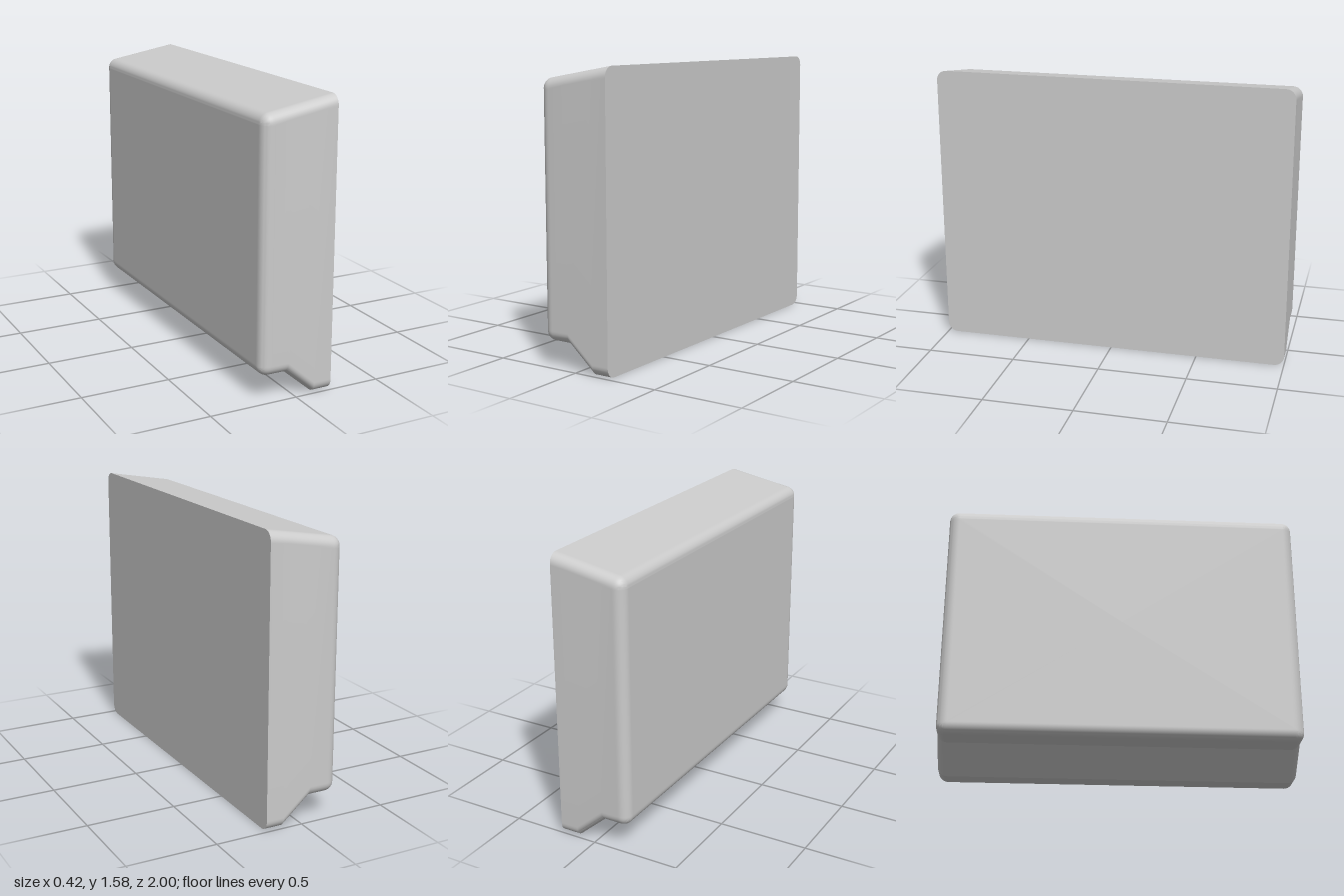
import * as THREE from 'three';
import { toCreasedNormals } from 'three/addons/utils/BufferGeometryUtils.js';

const R = 0.055;        // fillet radius
const E = 0.006;        // support loop offset that keeps flats flat
const HALF_X = 0.21;
const CX = -HALF_X + R; // fillet centre on the rounded side
const SLOPE = 0.175;

const topLine = (x) => 1.58 - SLOPE * (HALF_X - x);
const bottomLine = (x) => (x < -0.05 ? 0.14 : x < 0.11 ? 0.14 * (0.11 - x) / 0.16 : 0);

// Cross-sections along x: bottom, top, half depth and corner radius
function sections() {
  const list = [];
  const cy = topLine(CX) - R * Math.hypot(1, SLOPE);
  const tangent = Math.PI / 2 - Math.atan(SLOPE);
  list.push({ x: -HALF_X, bottom: 0.14 + R + E, top: cy - E, half: 1 - R - E, r: 0 });
  for (let i = 0; i <= 9; i++) {
    const a = (i / 9) * Math.PI / 2;
    const x = CX - R * Math.cos(a);
    const inset = R * (1 - Math.sin(a));
    list.push({
      x, bottom: 0.14 + inset,
      top: a < tangent ? cy + R * Math.sin(a) : topLine(x),
      half: 1 - inset, r: R - inset,
    });
  }
  for (const x of [CX + E, -0.05, 0.11, HALF_X]) {
    list.push({ x, bottom: bottomLine(x), top: topLine(x), half: 1, r: R });
  }
  return list;
}

// Rounded rectangle in the z-y plane, with a support point either side of each corner
function ring({ x, bottom, top, half, r }) {
  const pts = [];
  const corners = [[1, 1], [-1, 1], [-1, -1], [1, -1]];
  corners.forEach(([sz, sy], c) => {
    const z0 = sz * (half - r);
    const y0 = sy > 0 ? top - r : bottom + r;
    const start = c * Math.PI / 2;
    const at = (a, shift) => pts.push([
      x,
      y0 + r * Math.sin(a) + shift * Math.cos(a),
      z0 + r * Math.cos(a) - shift * Math.sin(a),
    ]);
    at(start, -E);
    for (let i = 0; i <= 8; i++) at(start + (i / 8) * Math.PI / 2, 0);
    at(start + Math.PI / 2, E);
  });
  return pts;
}

function bodyGeometry() {
  const rings = sections().map(ring);
  const n = rings[0].length;
  const last = rings.length - 1;
  const index = [];
  for (let i = 0; i < last; i++) {
    for (let j = 0; j < n; j++) {
      const k = (j + 1) % n;
      const a = i * n + j, b = a + n, c = (i + 1) * n + k, d = i * n + k;
      index.push(a, b, c, a, c, d);
    }
  }
  // Flat caps on both sides
  const c0 = rings.length * n;
  for (let j = 0; j < n; j++) {
    const k = (j + 1) % n;
    index.push(c0, j, k, c0 + 1, last * n + k, last * n + j);
  }
  const positions = [...rings.flat(), [-HALF_X, 0.82, 0], [HALF_X, 0.79, 0]].flat();
  const geo = new THREE.BufferGeometry();
  geo.setAttribute('position', new THREE.Float32BufferAttribute(positions, 3));
  geo.setIndex(index);
  return toCreasedNormals(geo, 0.5);
}

export function createModel() {
  const group = new THREE.Group();
  group.name = 'wallCabinet';
  const material = new THREE.MeshStandardMaterial({ color: 0xcccccc });
  const body = new THREE.Mesh(bodyGeometry(), material);
  body.name = 'housing';
  group.add(body);
  return group;
}
